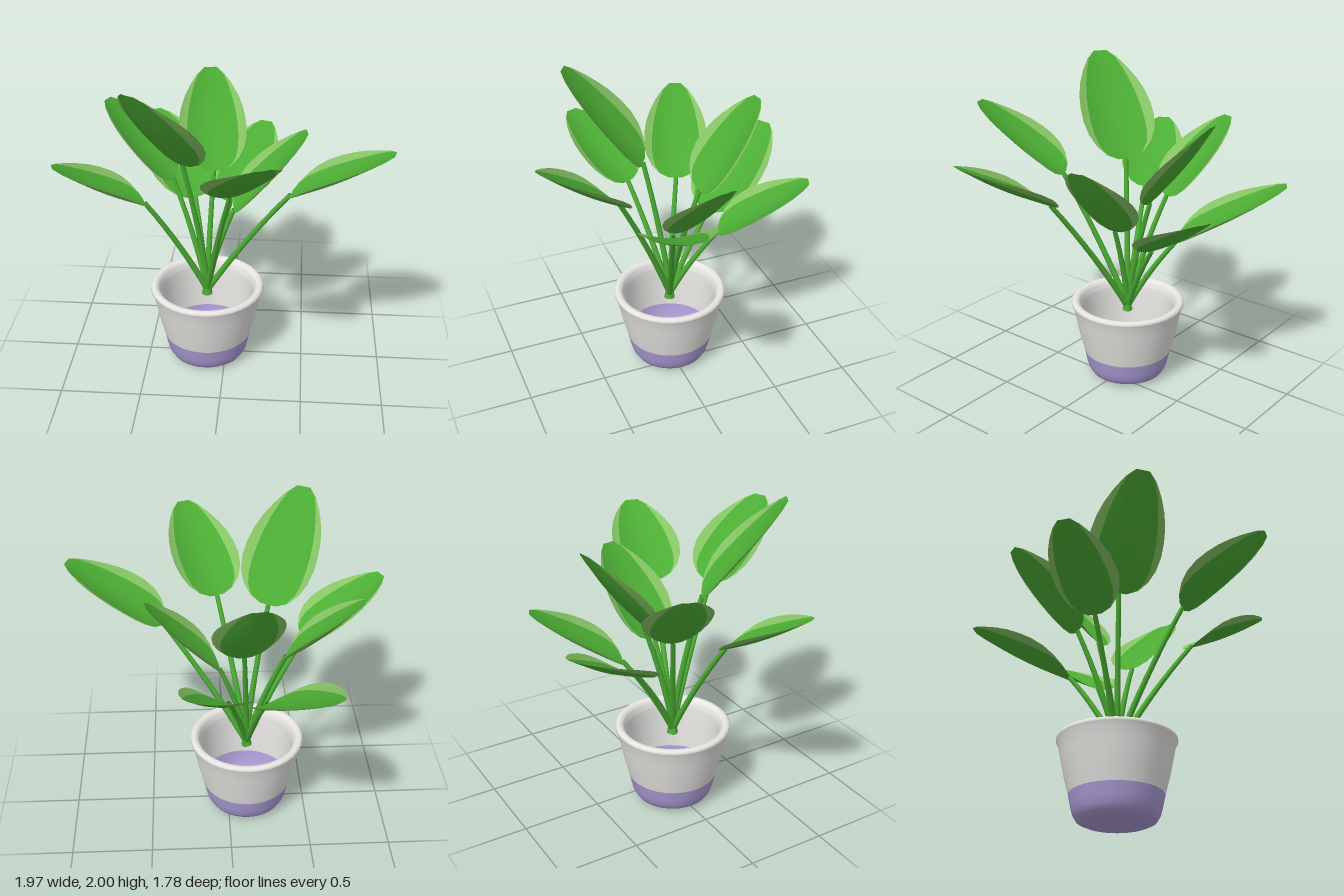
import * as THREE from 'three';

const mat = (name, color, side = THREE.FrontSide) => {
  const m = new THREE.MeshStandardMaterial({ color, side });
  m.name = name;
  return m;
};
const V = (a) => new THREE.Vector3(...a);
const CENTER = V([-0.12, 0, -0.01]);

// Base and tip of each leaf blade
const LEAVES = [
  [[-0.22, 0.98, -0.32], [-0.55, 1.36, -0.87]],
  [[0.01, 0.97, -0.29], [0.22, 1.33, -0.79]],
  [[-0.34, 1.2, -0.145], [-0.76, 1.65, -0.31]],
  [[-0.09, 1.23, -0.2], [-0.14, 1.77, -0.6]],
  [[0.05, 1.05, -0.04], [0.485, 1.55, -0.115]],
  [[0.395, 1.27, 0.17], [0.97, 1.62, 0.33]],
  [[0.05, 1.34, 0.37], [0.25, 1.76, 0.88]],
  [[-0.25, 1.41, 0.11], [-0.49, 2.0, 0.515]],
  [[-0.48, 1.16, 0.13], [-0.975, 1.48, 0.34]],
];

// Half width of the blade (fraction of the maximum) along its length
const OUTLINE = [
  [0, 0.22], [0.04, 0.52], [0.12, 0.77], [0.22, 0.93], [0.34, 1], [0.46, 0.99],
  [0.58, 0.93], [0.7, 0.81], [0.82, 0.63], [0.93, 0.41], [1, 0.18],
];

// Cupped oval blade: group 0 is the middle, group 1 the two pale margins
function leafGeometry(base, tip) {
  const axis = tip.clone().sub(base);
  const length = axis.length();
  const dir = axis.clone().normalize();
  const side = dir.clone().cross(new THREE.Vector3(0, 1, 0)).normalize();
  const normal = side.clone().cross(dir);
  const positions = [], blade = [], margin = [];
  const cols = 7;
  OUTLINE.forEach(([t, w], i) => {
    const inner = 0.75 + 0.25 * Math.abs(2 * t - 1) ** 3;
    [-1, -inner, -inner / 2, 0, inner / 2, inner, 1].forEach((u, j) => {
      const across = u * w;
      const p = base.clone().addScaledVector(axis, t)
        .addScaledVector(side, across * 0.315 * length)
        .addScaledVector(normal, 0.07 * across * across - 0.02 * Math.sin(Math.PI * t));
      positions.push(p.x, p.y, p.z);
      if (i === OUTLINE.length - 1 || j === cols - 1) return;
      const a = i * cols + j, b = a + 1, c = a + cols, d = c + 1;
      (j === 0 || j === cols - 2 ? margin : blade).push(a, b, c, b, d, c);
    });
  });
  const g = new THREE.BufferGeometry();
  g.setAttribute('position', new THREE.Float32BufferAttribute(positions, 3));
  g.setIndex([...blade, ...margin]);
  g.addGroup(0, blade.length, 0);
  g.addGroup(blade.length, margin.length, 1);
  g.computeVertexNormals();
  return g;
}

// Bowed stalk that crosses the others at the foot and narrows toward the blade
function stalkGeometry(base) {
  const out = base.clone().sub(CENTER).setY(0).normalize();
  const start = CENTER.clone().setY(0.44).addScaledVector(out, -0.015);
  const mid = start.clone().lerp(base, 0.5).addScaledVector(out, -0.025);
  mid.y += 0.03;
  const curve = new THREE.QuadraticBezierCurve3(start, mid, base);
  const rows = 8, sides = 7;
  const g = new THREE.TubeGeometry(curve, rows, 0.021, sides, false);
  const p = g.attributes.position, v = new THREE.Vector3();
  for (let i = 0; i < p.count; i++) {
    const t = Math.floor(i / (sides + 1)) / rows;
    const c = curve.getPointAt(t);
    v.fromBufferAttribute(p, i).sub(c).multiplyScalar(1 - 0.3 * t).add(c);
    p.setXYZ(i, v.x, v.y, v.z);
  }
  return g;
}

export function createModel() {
  const model = new THREE.Group();
  model.name = 'pottedPlant';
  const white = mat('potWhite', 0xe7e6e3);
  const purple = mat('potPurple', 0xab9cd5);
  const green = mat('leafGreen', 0x4cad34, THREE.DoubleSide);
  const pale = mat('leafMargin', 0x86c464, THREE.DoubleSide);
  const add = (parent, name, geometry, material) => {
    const m = new THREE.Mesh(geometry, material);
    m.name = name;
    parent.add(m);
  };

  // Pot, turned from the underside, over the rim, to the inner floor
  const pot = new THREE.Group();
  pot.name = 'pot';
  pot.position.copy(CENTER);
  model.add(pot);
  const turned = (name, pts, material) =>
    add(pot, name, new THREE.LatheGeometry(pts.map((q) => new THREE.Vector2(...q)), 36), material);
  turned('potFoot', [[0, 0.004], [0.16, 0], [0.2, 0.006], [0.235, 0.022], [0.255, 0.055], [0.267, 0.1], [0.282, 0.172]], purple);
  turned('potWall', [[0.282, 0.172], [0.31, 0.285], [0.334, 0.4], [0.35, 0.48], [0.362, 0.498],
    [0.362, 0.512], [0.353, 0.522], [0.336, 0.526], [0.318, 0.519], [0.305, 0.5], [0.297, 0.465]], white);
  turned('potInside', [[0.297, 0.465], [0.29, 0.4], [0.278, 0.172]], white);
  turned('potFloor', [[0.278, 0.172], [0.262, 0.1], [0.235, 0.045], [0.18, 0.025], [0, 0.02]], purple);

  // Leaves fanning out around the pot
  LEAVES.forEach(([b, t], i) => {
    const leaf = new THREE.Group();
    leaf.name = `leaf${i + 1}`;
    model.add(leaf);
    const base = V(b);
    add(leaf, 'stalk', stalkGeometry(base), green);
    add(leaf, 'blade', leafGeometry(base, V(t)), [green, pale]);
  });
  return model;
}
